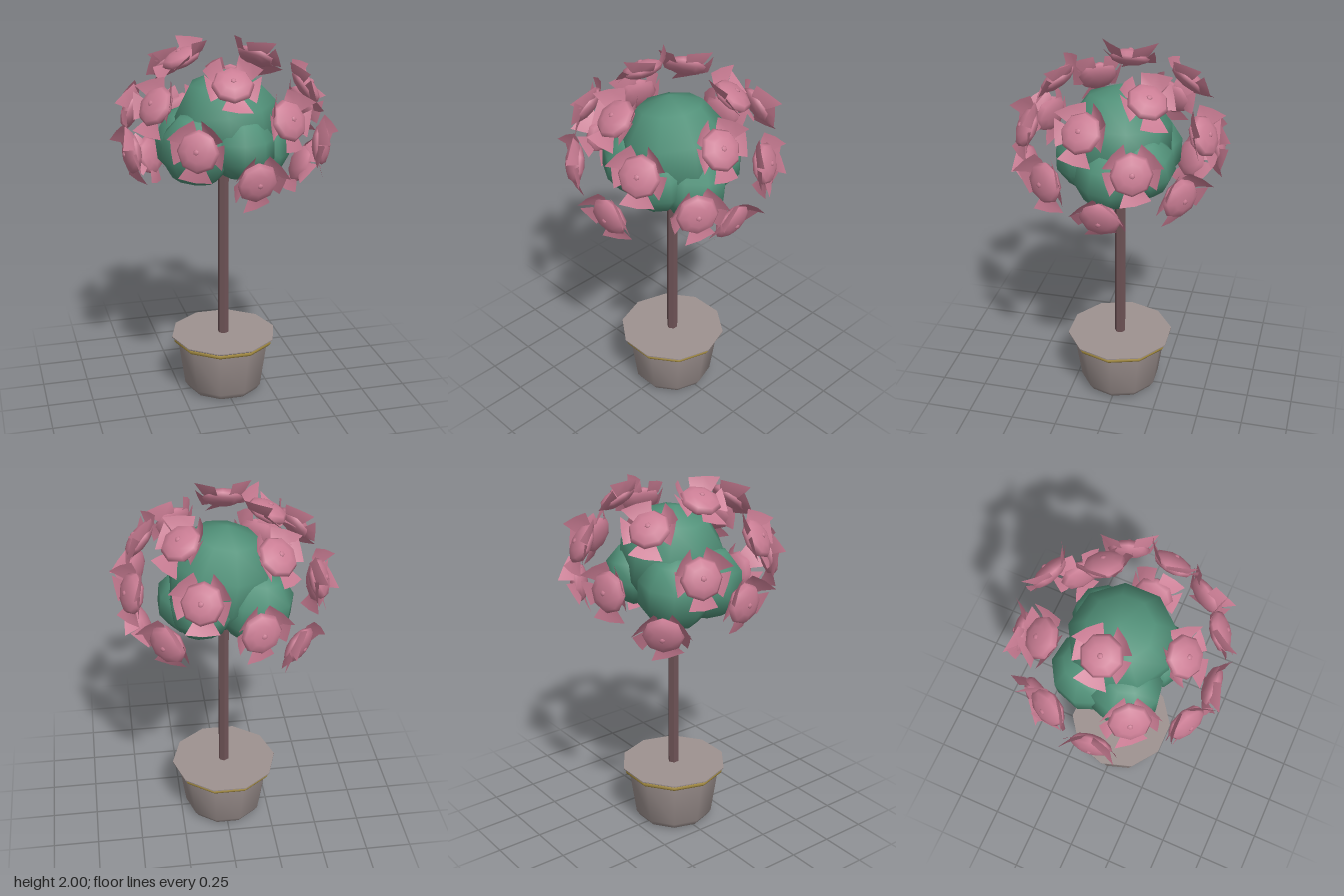
import * as THREE from 'three';
import { mergeGeometries, toCreasedNormals } from 'three/addons/utils/BufferGeometryUtils.js';

const mat = (name, color, side = THREE.FrontSide) => {
  const m = new THREE.MeshStandardMaterial({ color, side });
  m.name = name;
  return m;
};

const V = (x, y, z) => new THREE.Vector3(x, y, z);

// Broad petal wrapping an arc of the bloom; lift folds its outer edge along +y
function petalGeometry(angle, span, reach, lift, twist) {
  const g = new THREE.PlaneGeometry(1, 1, 2, 2);
  const p = g.attributes.position;
  for (let i = 0; i < p.count; i++) {
    const u = p.getX(i) + 0.5, v = p.getY(i) * 2;
    const a = angle + v * span;
    const r = 0.07 + u * (reach - 0.07) + 0.012 * u * v * v;
    p.setXYZ(i, Math.cos(a) * r, -0.012 + lift * u * u + twist * v * u, -Math.sin(a) * r);
  }
  g.computeVertexNormals();
  return g;
}

// Petals as angle, half span, reach and lift: one hanging down, the rest cupped
const PETALS = [
  [0, 0.5, 0.158, -0.008], [1.4, 0.46, 0.135, 0.03], [2.4, 0.52, 0.142, 0.06],
  [-2.4, 0.52, 0.142, 0.06], [-1.4, 0.46, 0.135, 0.03],
];

// Lens-shaped bloom with a small bud and uneven petals
function flowerGeometry(seed) {
  const dome = new THREE.SphereGeometry(0.108, 8, 6);
  dome.scale(1, 0.4, 1);
  const bud = new THREE.SphereGeometry(0.016, 6, 4);
  bud.scale(1, 0.6, 1);
  bud.translate(0, 0.04, 0);
  const petals = PETALS.map(([angle, span, reach, lift], i) => {
    const wobble = Math.sin(seed * 2.3 + i * 1.7);
    return petalGeometry(angle + wobble * 0.12, span, reach, lift + wobble * 0.012,
      0.025 * (i % 2 ? 1 : -1));
  });
  return mergeGeometries([dome, bud, ...petals]);
}

export function createModel() {
  const model = new THREE.Group();
  const pink = mat('blossom pink', 0xca7d94, THREE.DoubleSide);
  const green = mat('leaf green', 0x519179);
  const stone = mat('pot stone', 0x9e9290);
  const bark = mat('bark brown', 0x6e5356);
  const gold = mat('trim gold', 0xa08840);

  const add = (name, geometry, material, parent = model) => {
    const mesh = new THREE.Mesh(geometry, material);
    mesh.name = name;
    parent.add(mesh);
    return mesh;
  };

  // Ten-sided pot, closed by a flat top
  const profile = [[0, 0], [0.17, 0], [0.2, 0.012], [0.222, 0.045], [0.258, 0.295],
    [0.268, 0.3], [0.272, 0.316], [0.294, 0.33], [0.294, 0.336], [0, 0.336]];
  const potShape = new THREE.LatheGeometry(profile.map(([r, y]) => new THREE.Vector2(r, y)), 10);
  potShape.rotateY(Math.PI / 2);
  add('pot', toCreasedNormals(potShape, 0.75), stone);

  // Gold band under the rim
  const band = new THREE.TorusGeometry(0.27, 0.012, 6, 10);
  band.rotateX(Math.PI / 2);
  band.translate(0, 0.309, 0);
  add('potBand', band, gold);

  // Slim hexagonal trunk
  const trunkShape = new THREE.CylinderGeometry(0.03, 0.03, 1.02, 6);
  const trunk = add('trunk', toCreasedNormals(trunkShape, 0.5), bark);
  trunk.position.y = 0.84;

  // Overlapping leaf clumps: x, y, z, radius
  const foliage = new THREE.Group();
  foliage.name = 'foliage';
  model.add(foliage);
  [[0.02, 1.55, 0, 0.285], [-0.16, 1.44, 0.09, 0.2], [0.06, 1.45, 0.16, 0.175],
    [0.17, 1.41, 0.02, 0.185], [0.13, 1.46, -0.15, 0.17], [-0.15, 1.43, -0.1, 0.205],
  ].forEach(([x, y, z, r], i) => {
    const clump = add('leafClump', new THREE.SphereGeometry(r, 9, 5), green, foliage);
    clump.position.set(x, y, z);
    clump.rotation.set(0.15 * Math.sin(i * 2), i * 0.7, 0.15 * Math.cos(i * 3));
  });

  // Blossoms floating around the foliage, each facing outward
  const blossoms = new THREE.Group();
  blossoms.name = 'blossoms';
  model.add(blossoms);
  [[-0.12, 1.5, -0.49], [0.16, 1.67, -0.46], [0.325, 1.4, -0.38], [-0.22, 1.81, -0.31],
    [-0.46, 1.6, -0.18], [0.23, 1.85, -0.19], [0.48, 1.58, -0.17],
    [-0.22, 1.9, 0], [0.42, 1.74, 0.09], [0.45, 1.47, 0.27], [-0.5, 1.43, 0.06],
    [-0.4, 1.71, 0.22], [-0.04, 1.82, 0.34], [-0.24, 1.53, 0.45], [0.05, 1.36, 0.48],
    [0.22, 1.65, 0.43], [0.43, 1.29, 0], [-0.34, 1.3, -0.32],
  ].forEach(([x, y, z], i) => {
    const flower = add('blossom', flowerGeometry(i), pink, blossoms);
    const normal = V(x, (y - 1.44) * 1.1, z).normalize();
    const down = V(0, -1, 0).addScaledVector(normal, normal.y).normalize();
    const across = V(0, 0, 0).crossVectors(down, normal);
    flower.quaternion.setFromRotationMatrix(new THREE.Matrix4().makeBasis(down, normal, across));
    flower.position.set(x, y, z);
  });

  return model;
}
